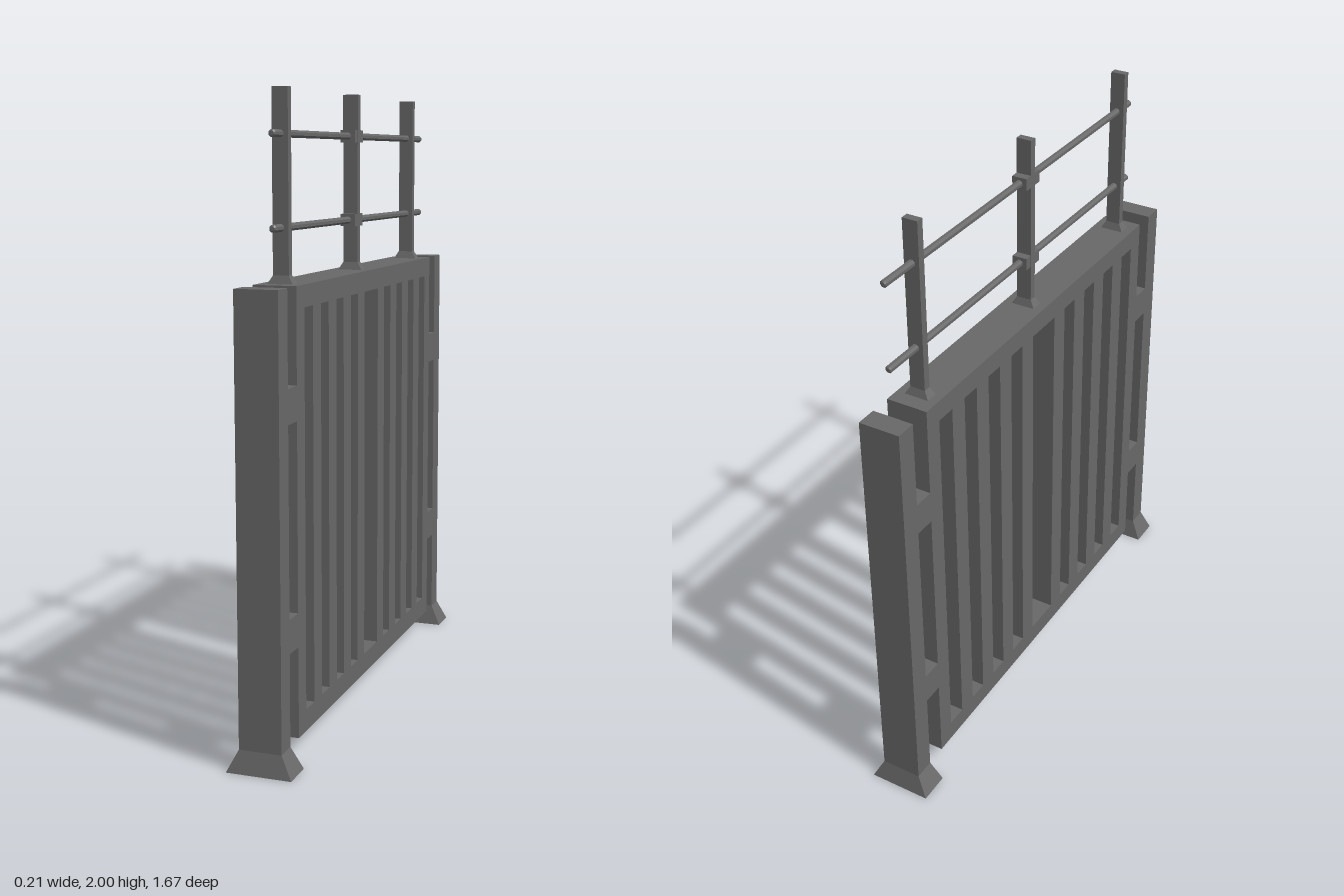
import * as THREE from 'three';

const material = new THREE.MeshStandardMaterial({ color: 0x686868, flatShading: true });

const HALF_DEPTH = 0.068; // panel and posts, along x
const TOP = 1.434;
const BOTTOM = 0.07;

function add(parent, name, geometry, x, y, z) {
  const mesh = new THREE.Mesh(geometry, material);
  mesh.name = name;
  mesh.position.set(x, y, z);
  parent.add(mesh);
  return mesh;
}

// Box standing on its base, with the bottom rim widened to w1 by d1
function flare(w0, d0, w1, d1, h) {
  const geometry = new THREE.BoxGeometry(w0, h, d0).translate(0, h / 2, 0);
  const p = geometry.attributes.position;
  for (let i = 0; i < p.count; i++) {
    if (p.getY(i) < h / 2) p.setXYZ(i, Math.sign(p.getX(i)) * w1 / 2, 0, Math.sign(p.getZ(i)) * d1 / 2);
  }
  geometry.computeVertexNormals();
  return geometry;
}

function rectangle(target, u0, v0, u1, v1) {
  target.moveTo(u0, v0);
  target.lineTo(u1, v0);
  target.lineTo(u1, v1);
  target.lineTo(u0, v1);
  target.closePath();
  return target;
}

// Barred panel: a slab with tall slots cut between the bars
function barredPanel() {
  const shape = rectangle(new THREE.Shape(), -0.68, BOTTOM, 0.68, TOP);
  const half = 0.034;
  const bars = [0.103, 0.2395, 0.376, 0.5125];
  const centres = [-0.651, ...bars.map((b) => -b).reverse(), ...bars, 0.651];
  for (let i = 0; i < centres.length - 1; i++) {
    shape.holes.push(rectangle(new THREE.Path(), centres[i] + half, 0.138, centres[i + 1] - half, 1.367));
  }
  return new THREE.ExtrudeGeometry(shape, { depth: HALF_DEPTH * 2, bevelEnabled: false })
    .translate(0, 0, -HALF_DEPTH)
    .rotateY(-Math.PI / 2);
}

// Eight-sided rail along z with chamfered ends
function railGeometry(length, radius) {
  const h = length / 2;
  const profile = [[0, -h], [radius * 0.6, -h], [radius, -h + 0.005], [radius, h - 0.005], [radius * 0.6, h], [0, h]];
  return new THREE.LatheGeometry(profile.map(([r, y]) => new THREE.Vector2(r, y)), 8)
    .rotateY(Math.PI / 8)
    .rotateX(Math.PI / 2);
}

export function createModel() {
  const group = new THREE.Group();
  group.name = 'barredGate';

  add(group, 'barredPanel', barredPanel(), 0, 0, 0);

  // End posts with flared feet, tied to the panel by two links each
  for (const side of [1, -1]) {
    const end = new THREE.Group();
    end.name = side > 0 ? 'frontPost' : 'backPost';
    group.add(end);
    const height = TOP - BOTTOM;
    add(end, 'post', new THREE.BoxGeometry(HALF_DEPTH * 2, height, 0.07), 0, BOTTOM + height / 2, side * 0.785);
    add(end, 'foot', flare(HALF_DEPTH * 2, 0.07, 0.208, 0.103, BOTTOM), 0, 0, side * 0.785);
    for (const y of [0.408, 1.093]) {
      add(end, 'link', new THREE.BoxGeometry(HALF_DEPTH * 2, 0.105, 0.07), 0, y, side * 0.715);
    }
  }

  // Railing uprights on small flared bases
  for (const z of [0.616, 0.002, -0.609]) {
    add(group, 'railingUpright', new THREE.BoxGeometry(0.05, 2 - TOP, 0.025), 0, (2 + TOP) / 2, z);
    add(group, 'uprightBase', flare(0.05, 0.025, 0.08, 0.042, 0.025), 0, TOP, z);
  }

  // Rails, clamped at the middle upright
  for (const y of [1.597, 1.867]) {
    add(group, 'rail', railGeometry(1.452, 0.012), 0, y, -0.034);
    add(group, 'railClamp', new THREE.BoxGeometry(0.049, 0.04, 0.08), 0, y, 0.002);
  }

  return group;
}
